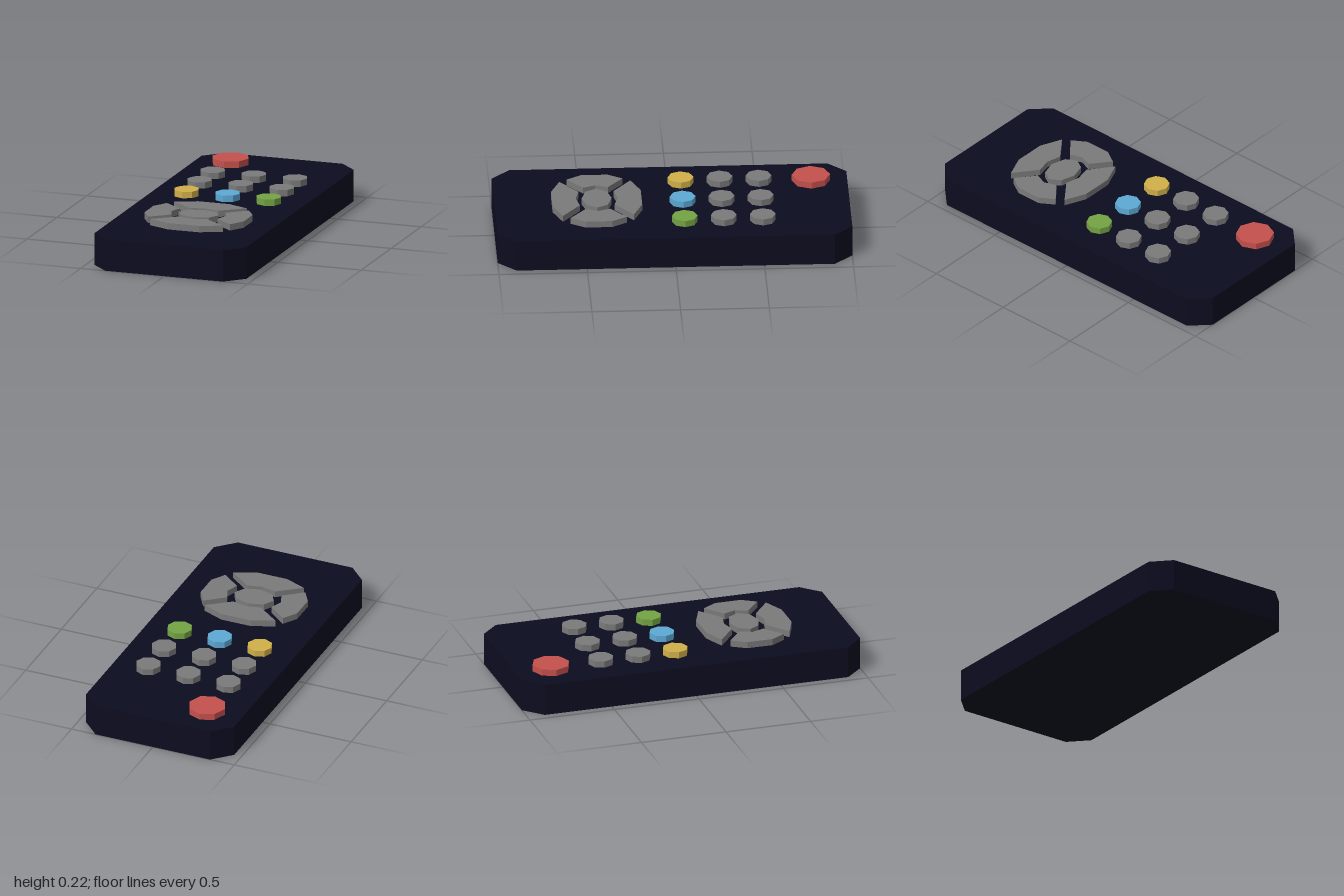
import * as THREE from 'three';

const BODY_TOP = 0.183, BUTTON_TOP = 0.22;

function material(name, color) {
  const m = new THREE.MeshStandardMaterial({ color });
  m.name = name;
  return m;
}

// Upright prism from a plan outline of [x, z] points
function prism(name, outline, y0, y1, mat) {
  const shape = new THREE.Shape(outline.map(([x, z]) => new THREE.Vector2(x, -z)));
  const geo = new THREE.ExtrudeGeometry(shape, { depth: y1 - y0, bevelEnabled: false });
  geo.rotateX(-Math.PI / 2);
  geo.translate(0, y0, 0);
  const mesh = new THREE.Mesh(geo, mat);
  mesh.name = name;
  return mesh;
}

// Eight-sided outline with corners on the axes
function octagon(x, z, rx, rz = rx) {
  return Array.from({ length: 8 }, (_, i) => {
    const a = i * Math.PI / 4;
    return [x + rx * Math.cos(a), z + rz * Math.sin(a)];
  });
}

export function createModel() {
  const group = new THREE.Group();
  group.name = 'remoteControl';
  const navy = material('navy', 0x0c0c20);
  const grey = material('grey', 0x7a7a7a);
  const red = material('red', 0xc4504c);
  const yellow = material('yellow', 0xd1b04a);
  const blue = material('blue', 0x5caad4);
  const green = material('green', 0x74a344);

  const button = (name, outline, mat) =>
    group.add(prism(name, outline, BODY_TOP, BUTTON_TOP, mat));

  // Body with clipped corners
  const w = 0.455, l = 1, c = 0.103;
  group.add(prism('body', [
    [w, l - c], [w - c, l], [c - w, l], [-w, l - c],
    [-w, c - l], [c - w, -l], [w - c, -l], [w, c - l],
  ], 0, BODY_TOP, navy));

  // Power button
  button('powerButton', octagon(-0.245, -0.795, 0.108), red);

  // Three rows of small buttons, the last one coloured
  const rows = [[-0.5, [grey, grey, grey]], [-0.28, [grey, grey, grey]], [-0.06, [yellow, blue, green]]];
  rows.forEach(([z, mats], r) => mats.forEach((mat, i) =>
    button(`button${r + 1}${'ABC'[i]}`, octagon((i - 1) * 0.246, z, 0.073), mat)));

  // Direction pad: mirrored segments around an oval centre
  const padZ = 0.425;
  const upDown = [
    [-0.218, 0.2], [-0.092, 0.253], [0.092, 0.253], [0.218, 0.2],
    [0.085, 0.098], [0, 0.118], [-0.085, 0.098],
  ];
  const side = [
    [0.245, -0.158], [0.297, -0.075], [0.297, 0.075], [0.245, 0.158],
    [0.137, 0.07], [0.163, 0], [0.137, -0.07],
  ];
  for (const s of [-1, 1]) {
    button(s > 0 ? 'downButton' : 'upButton', upDown.map(([x, z]) => [x, padZ + s * z]), grey);
    button(s > 0 ? 'leftSideButton' : 'rightSideButton', side.map(([x, z]) => [s * x, padZ + z]), grey);
  }
  button('centreButton', octagon(0, padZ, 0.12, 0.085), grey);

  return group;
}
